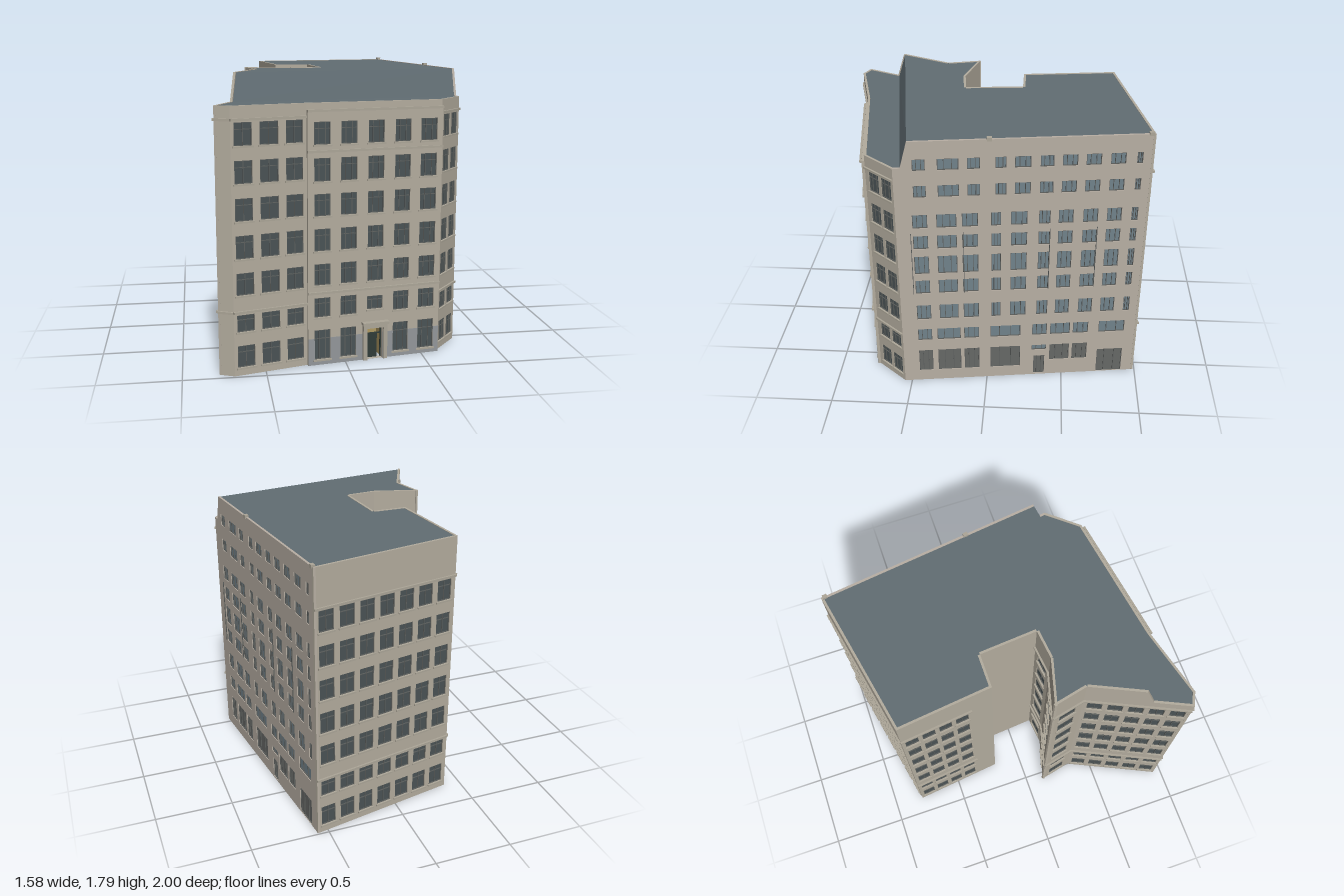
import * as THREE from 'three';
import { mergeGeometries } from 'three/addons/utils/BufferGeometryUtils.js';

const mat = (color) => new THREE.MeshStandardMaterial({ color, side: THREE.DoubleSide, flatShading: true });
const M = {
  stone: mat(0xb3ac9e), render: mat(0xb8afa4), trim: mat(0xaca698), roof: mat(0x616d73),
  frame: mat(0x5d605e), glass: mat(0x4a5355), blueGlass: mat(0x71828b), panel: mat(0x666866),
  plinth: mat(0x93979a), door: mat(0x2f3b38), hall: mat(0xb09a62),
};
const EAVE = 1.61, TOP = 1.78, T = 0.015;

// Footprint corners [x, z]
const A = [-0.78, 0.945], B = [-0.69, 0.985], C = [-0.24, 0.87], D = [0.61, 0.74], E = [0.775, 0.545],
  G = [0.57, -0.99], H = [-0.39, -0.8], I = [-0.32, -0.19], J = [-0.1, -0.19], K = [-0.07, 0.18],
  L = [-0.26, 0.2], P = [-0.55, 0.12], N = [-0.5, 0.34];
const lerp = (p, q, t) => [p[0] + (q[0] - p[0]) * t, p[1] + (q[1] - p[1]) * t];
const len = (p, q) => Math.hypot(q[0] - p[0], q[1] - p[1]);

const box = (x0, x1, y0, y1, z0, z1) =>
  new THREE.BoxGeometry(x1 - x0, y1 - y0, z1 - z0).translate((x0 + x1) / 2, (y0 + y1) / 2, (z0 + z1) / 2);

function add(group, name, geos, material) {
  if (!geos.length) return;
  const mesh = new THREE.Mesh(geos.length > 1 ? mergeGeometries(geos) : geos[0], material);
  mesh.name = name;
  group.add(mesh);
}

// One facade from p to q (left to right from outside); openings are [u0, u1, y0, y1, kind]
function facade(name, p, q, { top, openings = [], material = M.stone, glass = M.glass, ledges = [],
  ledgeEnd = 1, sills = true, bars = [0.5], transom = 0.7, out = 0, thick = T } = {}) {
  const g = new THREE.Group(), w = len(p, q);
  g.name = name;
  const a = Math.atan2(-(q[1] - p[1]), q[0] - p[0]);
  g.rotation.y = a;
  g.position.set(p[0] + Math.sin(a) * out, 0, p[1] + Math.cos(a) * out);
  const outline = [[0, 0], [w, 0], ...(top || [[w, TOP], [0, TOP]])];
  const shape = new THREE.Shape(outline.map((c) => new THREE.Vector2(...c)));
  const panes = [], panels = [], frames = [], sillGeos = [];
  for (const [u0, u1, y0, y1, kind] of openings) {
    const e = kind === 'door' ? 0.001 : 0;
    shape.holes.push(new THREE.Path([[u0, y0 + e], [u0, y1], [u1, y1], [u1, y0 + e]].map((c) => new THREE.Vector2(...c))));
    if (kind === 'door') continue;
    const pane = new THREE.PlaneGeometry(u1 - u0, y1 - y0).translate((u0 + u1) / 2, (y0 + y1) / 2, -0.011);
    (kind === 'panel' ? panels : panes).push(pane);
    const f = 0.004, z0 = -0.012, z1 = -0.005;
    frames.push(box(u0, u0 + f, y0, y1, z0, z1), box(u1 - f, u1, y0, y1, z0, z1),
      box(u0, u1, y0, y0 + f, z0, z1), box(u0, u1, y1 - f, y1, z0, z1));
    for (const b of bars) {
      const u = u0 + (u1 - u0) * b;
      frames.push(box(u - 0.002, u + 0.002, y0, y1, z0, z1));
    }
    if (transom) {
      const y = y0 + (y1 - y0) * transom;
      frames.push(box(u0, u1, y - 0.002, y + 0.002, z0, z1));
    }
    if (sills) sillGeos.push(box(u0 - 0.008, u1 + 0.008, y0 - 0.011, y0, -0.002, 0.008));
  }
  const wall = new THREE.ExtrudeGeometry(shape, { depth: thick, bevelEnabled: false }).translate(0, 0, -thick);
  add(g, 'wall', [wall], material);
  add(g, 'windowGlass', panes, glass);
  add(g, 'windowPanels', panels, M.panel);
  add(g, 'windowFrames', frames, M.frame);
  add(g, 'windowSills', sillGeos, M.trim);
  add(g, 'ledges', ledges.map((y) => box(0, w * ledgeEnd, y - 0.007, y + 0.007, -0.002, 0.012)), M.trim);
  return g;
}

// Evenly spaced columns between two distances along a wall
const columns = (n, from, to, width) => Array.from({ length: n }, (_, i) => {
  const c = from + ((to - from) * (i + 0.5)) / n;
  return [c - width / 2, c + width / 2];
});
const grid = (cols, rows) => rows.flatMap((r) => cols.map((c) => [...c, ...r]));
const ROWS = [[0.05, 0.185], [0.27, 0.375], [0.495, 0.63], [0.715, 0.855], [0.94, 1.075], [1.16, 1.295], [1.38, 1.515]];
const LEDGES = [0.393, 1.53];

// Flat polygon at a height
function slab(points, y) {
  const s = new THREE.Shape(points.map(([x, z]) => new THREE.Vector2(x, -z)));
  return new THREE.ShapeGeometry(s).rotateX(-Math.PI / 2).translate(0, y, 0);
}

function entranceBay() {
  const w = len(C, D), u = (x) => ((x + 0.24) / 0.85) * w;
  const cols = [[-0.2, -0.1], [-0.035, 0.065], [0.135, 0.235], [0.305, 0.405], [0.47, 0.575]].map((c) => c.map(u));
  const upper = [[0.507, 0.64], [0.72, 0.857], [0.935, 1.07], [1.145, 1.285], [1.365, 1.5]];
  const sides = cols.filter((_, i) => i !== 2);
  const openings = [...grid(cols, upper), ...grid(sides, [[0.305, 0.427], [0.035, 0.223]]),
    [...cols[2], 0.325, 0.41], [...cols[2], 0, 0.2, 'door']];
  const g = facade('entranceBay', C, D, { openings, top: [[w, 1.57], [0, 1.57]], out: 0.018, thick: 0.033,
    ledges: [0.46, 1.325, 1.565], bars: [0.3, 0.7] });
  add(g, 'parapet', [box(0, w, 1.56, EAVE, -0.033, -0.018)], M.stone);
  // Painted base between and below the ground floor openings
  const base = [];
  let last = 0;
  cols.forEach(([a, b], i) => {
    base.push(box(last, a, 0, 0.17, 0, 0.002));
    if (i !== 2) base.push(box(a, b, 0, 0.025, 0, 0.002));
    last = b;
  });
  base.push(box(last, w, 0, 0.17, 0, 0.002));
  add(g, 'paintedBase', base, M.plinth);
  // Doorway: hall, leaf and surround
  const [d0, d1] = cols[2];
  add(g, 'entranceHall', [box(d0 - 0.004, d0, 0, 0.2, -0.11, -0.03), box(d1, d1 + 0.004, 0, 0.2, -0.11, -0.03),
    box(d0, d1, 0, 0.2, -0.114, -0.11), box(d0, d1, 0.2, 0.204, -0.11, -0.03)], M.hall);
  add(g, 'entranceDoor', [box(d0, d0 + 0.075, 0, 0.155, -0.03, -0.024), box(d0, d1, 0.155, 0.163, -0.03, -0.02),
    box(d1 - 0.007, d1, 0, 0.2, -0.03, -0.02)], M.door);
  add(g, 'doorSurround', [box(d0 - 0.028, d0 - 0.003, 0, 0.23, 0, 0.02), box(d1 + 0.003, d1 + 0.028, 0, 0.23, 0, 0.02),
    box(d0 - 0.028, d1 + 0.028, 0.205, 0.23, 0, 0.02), box(d0 - 0.035, d1 + 0.035, 0.23, 0.246, 0, 0.035)], M.trim);
  return g;
}

function sideWall() {
  const w = len(E, G), u = (z) => ((E[1] - z) / (E[1] - G[1])) * w;
  const span = (list) => list.map((c) => c.map(u));
  const attic = span([[0.43, 0.355], [0.285, 0.16], [0.11, 0.035], [-0.055, -0.12], [-0.17, -0.265], [-0.32, -0.4],
    [-0.45, -0.54], [-0.59, -0.68], [-0.735, -0.825], [-0.89, -0.925]]);
  const middle = span([[0.445, 0.355], [0.3, 0.18], [0.147, 0.05], [-0.03, -0.09], [-0.15, -0.25], [-0.32, -0.39],
    [-0.44, -0.53], [-0.59, -0.68], [-0.735, -0.825], [-0.885, -0.925]]);
  const low = span([[0.445, 0.355], [0.32, 0.17], [0.147, 0.05], [-0.025, -0.22], [-0.297, -0.393], [-0.415, -0.545],
    [-0.565, -0.665], [-0.735, -0.905]]);
  const openings = [
    ...grid(attic, [[1.59, 1.665], [1.41, 1.49]]),
    ...grid(middle, [[1.195, 1.29], [1.045, 1.14], [0.86, 0.99], [0.71, 0.81], [0.505, 0.617]]),
    ...grid(low, [[0.335, 0.425]]),
    ...grid(low.slice(0, 4), [[0.08, 0.25]]).map((o) => [...o, 'panel']),
    ...grid(low.slice(5, 7), [[0.12, 0.25]]).map((o) => [...o, 'panel']),
    [...low[4], 0.21, 0.25], [u(-0.31), u(-0.383), 0.01, 0.16, 'panel'], [...low[7], 0.002, 0.19, 'panel'],
  ];
  const g = facade('sideWall', E, G, { openings, material: M.render, glass: M.blueGlass, sills: false, bars: [0.3, 0.68], transom: 0,
    top: [[w, TOP], [u(0.455), TOP], [u(0.5), EAVE], [0, EAVE]] });
  add(g, 'drainPipes', [0.458, 0.14, -0.39, -0.68].map((z) => box(u(z) - 0.002, u(z) + 0.002, 0.71, 1.16, 0, 0.005)), M.frame);
  add(g, 'roofVents', [-0.02, -0.965].map((z) => box(u(z) - 0.015, u(z) + 0.015, TOP - 0.01, TOP + 0.012, -0.018, 0.006)), M.trim);
  return g;
}

export function createModel() {
  const model = new THREE.Group();
  model.name = 'cornerBuilding';
  const eave = (p, q) => [[len(p, q), EAVE], [0, EAVE]];

  // Street facades
  const wBC = len(B, C), uBC = (x) => ((x + 0.69) / 0.45) * wBC;
  const streetCols = [[-0.67, -0.565], [-0.52, -0.41], [-0.365, -0.262]].map((c) => c.map(uBC));
  const wDE = len(D, E), wNA = len(N, A);
  model.add(
    facade('cornerStrip', A, B, { top: eave(A, B), ledges: LEDGES }),
    facade('frontWall', B, C, { top: eave(B, C), openings: grid(streetCols, ROWS), ledges: LEDGES }),
    entranceBay(),
    facade('chamferWall', D, E, { top: eave(D, E), openings: grid(columns(2, 0.02, wDE - 0.01, 0.09), ROWS), ledges: LEDGES, bars: [0.3, 0.7] }),
    sideWall(),
  );

  // Rear and courtyard facades
  const rear = (name, p, q, n, width, end = 1) => model.add(facade(name, p, q, {
    openings: n ? grid(columns(n, 0.01, len(p, q) * end - 0.01, width), ROWS) : [], ledges: n ? LEDGES : [], ledgeEnd: end }));
  rear('rearWall', G, H, 7, 0.1);
  rear('rearWingWall', H, I, 4, 0.085, 0.77);
  rear('courtyardEndWall', I, J, 0);
  rear('courtyardWall', J, K, 0);
  rear('courtyardReturn', K, L, 1, 0.11);
  rear('courtyardAngledWall', L, P, 1, 0.13);
  rear('noseWall', P, N, 1, 0.12);
  model.add(facade('leftWall', N, A, { ledges: LEDGES, openings: grid(columns(5, 0.01, wNA - 0.01, 0.095), ROWS),
    top: [[wNA, EAVE], [wNA * 0.63, EAVE], [wNA * 0.54, TOP], [0, TOP]] }));

  // Roof: main deck, steep front slope and lower front terrace
  const sideT = (z) => lerp(E, G, (E[1] - z) / (E[1] - G[1]));
  const l1 = lerp(N, A, 0.63), l2 = lerp(N, A, 0.54), r1 = sideT(0.5), r2 = sideT(0.455);
  const y1 = EAVE - 0.003, y2 = TOP - 0.003;
  add(model, 'mainRoof', [slab([l2, r2, G, H, I, J, K, L, P, N], y2)], M.roof);
  add(model, 'frontTerraceRoof', [slab([l1, A, B, C, D, E, r1], y1)], M.roof);
  const slope = new THREE.BufferGeometry();
  const v = (p, y) => [p[0], y, p[1]];
  slope.setAttribute('position', new THREE.Float32BufferAttribute(
    [...v(l1, y1), ...v(r1, y1), ...v(r2, y2), ...v(l2, y2)], 3));
  slope.setIndex([0, 1, 2, 0, 2, 3]);
  slope.computeVertexNormals();
  add(model, 'steepRoofSlope', [slope], M.roof);
  return model;
}
